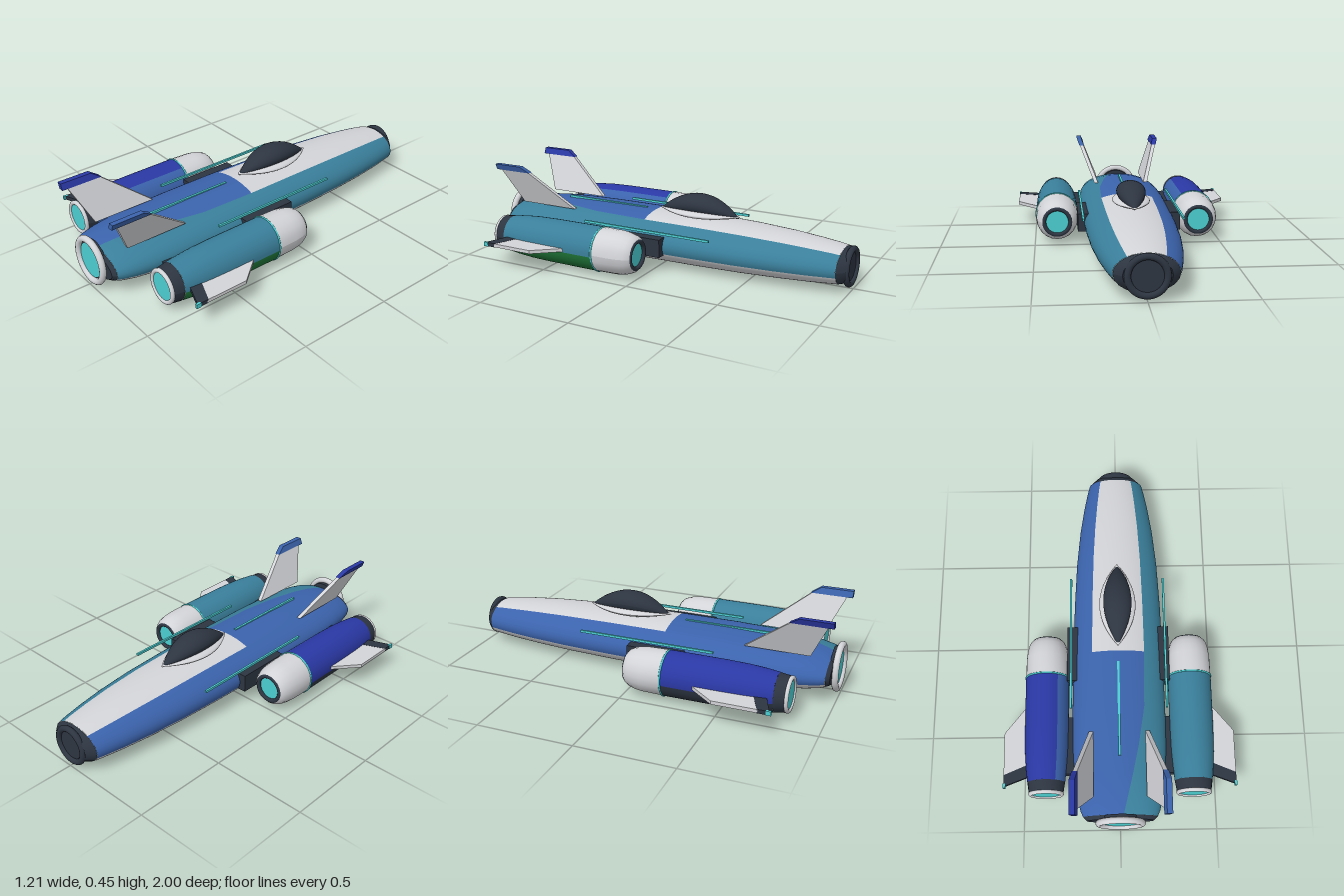
import * as THREE from 'three';

const paint = (name, color) => new THREE.MeshStandardMaterial({ name, color });
const LIGHT = paint('lightGrey', 0xd3d4d8);
const BLUE = paint('blue', 0x3b63ac);
const TEAL = paint('teal', 0x3a7f9b);
const INDIGO = paint('deepBlue', 0x2a38a4);
const GREEN = paint('green', 0x1f7538);
const DARK = paint('charcoal', 0x2d3541);
const CYAN = paint('cyan', 0x4ccfd2);

// Cross-sections: z, half width, centre height, half height
const HULL = [
  [-0.99, 0.11, 0.12, 0.078], [-0.95, 0.15, 0.12, 0.091], [-0.9, 0.162, 0.122, 0.096],
  [-0.8, 0.181, 0.124, 0.104], [-0.65, 0.203, 0.127, 0.113], [-0.45, 0.222, 0.129, 0.121],
  [-0.2, 0.234, 0.13, 0.126], [0.1, 0.241, 0.13, 0.128], [0.4, 0.245, 0.13, 0.126],
  [0.6, 0.243, 0.13, 0.121], [0.75, 0.234, 0.13, 0.113], [0.85, 0.22, 0.13, 0.102],
  [0.92, 0.203, 0.13, 0.086], [0.95, 0.19, 0.13, 0.076], [0.97, 0.17, 0.13, 0.066],
];
const POD = [
  [0, 0.078], [0.01, 0.09], [0.03, 0.1], [0.06, 0.108], [0.1, 0.113], [0.21, 0.115],
  [0.5, 0.114], [0.62, 0.111], [0.7, 0.105], [0.77, 0.097], [0.83, 0.088],
].map(([z, r]) => [z, r, 0.127, r]);

function sectionAt(profile, z) {
  let i = 0;
  while (i < profile.length - 2 && profile[i + 1][0] < z) i++;
  const a = profile[i], b = profile[i + 1], t = (z - a[0]) / (b[0] - a[0]);
  return a.map((v, k) => v + (b[k] - v) * t);
}

function add(parent, name, geometry, material, x = 0, y = 0, z = 0) {
  const mesh = new THREE.Mesh(geometry, material);
  mesh.name = name;
  mesh.position.set(x, y, z);
  parent.add(mesh);
  return mesh;
}

// Skin panel between two stations and two angles (degrees, or functions of z)
function panel(parent, name, profile, z0, z1, from, to, material) {
  const zs = [z0, ...profile.map(p => p[0]).filter(z => z > z0 + 1e-4 && z < z1 - 1e-4), z1];
  const angle = (a, z) => (typeof a === 'function' ? a(z) : a) * Math.PI / 180;
  const n = 20, pos = [], index = [];
  zs.forEach((z, i) => {
    const [, w, cy, h] = sectionAt(profile, z);
    for (let j = 0; j <= n; j++) {
      const a = THREE.MathUtils.lerp(angle(from, z), angle(to, z), j / n);
      pos.push(Math.cos(a) * w, cy + Math.sin(a) * h, z);
      if (i < zs.length - 1 && j < n) {
        const p = i * (n + 1) + j, q = p + n + 1;
        index.push(p, p + 1, q, p + 1, q + 1, q);
      }
    }
  });
  const g = new THREE.BufferGeometry();
  g.setAttribute('position', new THREE.Float32BufferAttribute(pos, 3));
  g.setIndex(index);
  g.computeVertexNormals();
  return add(parent, name, g, material);
}

// Pointed spindle lying along z; lift raises its middle
function spindle(halfWidth, halfHeight, halfLength, lift) {
  const g = new THREE.SphereGeometry(1, 32, 24).rotateX(Math.PI / 2);
  const p = g.attributes.position;
  for (let i = 0; i < p.count; i++) {
    const z = p.getZ(i), f = 1 - z * z, r = Math.sqrt(Math.max(f, 0));
    p.setXYZ(i, p.getX(i) * r * halfWidth, p.getY(i) * r * halfHeight + lift * f, z * halfLength);
  }
  g.computeVertexNormals();
  return g;
}

// Plate with a (z, y) outline, sheared sideways as it rises
function leaningPlate(outline, thickness, x0, y0, slope) {
  const shape = new THREE.Shape(outline.map(([z, y]) => new THREE.Vector2(-z, y)));
  const g = new THREE.ExtrudeGeometry(shape, { depth: thickness, bevelEnabled: false });
  g.translate(0, 0, -thickness / 2).rotateY(Math.PI / 2);
  const p = g.attributes.position;
  for (let i = 0; i < p.count; i++) p.setX(i, p.getX(i) + x0 + (p.getY(i) - y0) * slope);
  g.computeVertexNormals();
  return g;
}

// Horizontal plate with an (x, z) outline
function flatPlate(outline, thickness) {
  const shape = new THREE.Shape(outline.map(([x, z]) => new THREE.Vector2(x, -z)));
  return new THREE.ExtrudeGeometry(shape, { depth: thickness, bevelEnabled: false })
    .rotateX(-Math.PI / 2).translate(0, -thickness / 2, 0);
}

const ring = (radius, tube) => new THREE.TorusGeometry(radius, tube, 12, 48);
const disc = radius => new THREE.CircleGeometry(radius, 48);

function buildHull(root) {
  const hull = new THREE.Group();
  hull.name = 'hull';
  root.add(hull);
  // The boundary between the two side colours curves inward at the tail
  const edge = z => 55 + 30 * Math.pow(Math.max(0, (z - 0.3) / 0.65), 1.3);
  panel(hull, 'noseBand', HULL, -0.99, -0.95, 0, 360, DARK);
  panel(hull, 'topPanel', HULL, -0.95, 0.1, 55, 125, LIGHT);
  panel(hull, 'rearTopPanel', HULL, 0.1, 0.95, edge, 125, BLUE);
  panel(hull, 'leftSide', HULL, -0.95, 0.95, -16, edge, TEAL);
  panel(hull, 'rightSide', HULL, -0.95, 0.95, 125, 196, BLUE);
  panel(hull, 'leftStripe', HULL, -0.95, 0.95, -54, -16, LIGHT);
  panel(hull, 'rightStripe', HULL, -0.95, 0.95, 196, 234, LIGHT);
  panel(hull, 'belly', HULL, -0.95, 0.95, 234, 306, DARK);
  panel(hull, 'tailBand', HULL, 0.95, 0.97, 0, 360, DARK);
  add(hull, 'tailCap', disc(1), DARK, 0, 0.13, 0.97).scale.set(0.17, 0.066, 1);
  const cap = add(hull, 'noseCap', disc(1), DARK, 0, 0.12, -0.985);
  cap.scale.set(0.112, 0.08, 1);
  cap.rotation.y = Math.PI;
  add(hull, 'noseRing', ring(0.088, 0.016), DARK, 0, 0.116, -0.984);

  // Main engine
  const bell = new THREE.CylinderGeometry(0.1, 0.1, 0.03, 48).rotateX(Math.PI / 2);
  add(hull, 'engineBell', bell, DARK, 0, 0.135, 0.965);
  add(hull, 'engineRing', ring(0.111, 0.017), LIGHT, 0, 0.135, 0.983);
  add(hull, 'engineGlow', disc(0.09), CYAN, 0, 0.135, 0.984);

  // Canopy and spine light
  add(hull, 'canopyBase', spindle(0.097, 0.024, 0.235, 0), LIGHT, 0, 0.276, -0.155);
  add(hull, 'canopy', spindle(0.075, 0.055, 0.228, 0.05), DARK, 0, 0.27, -0.155);
  add(hull, 'spineLight', new THREE.BoxGeometry(0.012, 0.012, 0.5), CYAN, 0, 0.256, 0.41);
}

function buildPod(root, s) {
  const pod = new THREE.Group();
  pod.name = s > 0 ? 'leftPod' : 'rightPod';
  pod.position.x = s * 0.38;
  root.add(pod);
  panel(pod, 'intakeCowl', POD, 0, 0.21, 0, 360, LIGHT);
  const sectors = s > 0
    ? [['upperShell', -6, 186, TEAL], ['lowerShell', 245, 354, GREEN], ['innerShell', 186, 245, DARK]]
    : [['upperShell', 58, 190, INDIGO], ['innerShell', -14, 58, BLUE], ['lowerShell', 190, 346, DARK]];
  for (const [name, a, b, m] of sectors) panel(pod, name, POD, 0.21, 0.77, a, b, m);
  panel(pod, 'nozzle', POD, 0.77, 0.83, 0, 360, DARK);
  add(pod, 'lightBand', ring(0.114, 0.005), CYAN, 0, 0.127, 0.21);
  add(pod, 'intakeRing', ring(0.07, 0.011), DARK, 0, 0.127, 0.006);
  add(pod, 'intakeGlow', disc(0.066), CYAN, 0, 0.127, 0.012).rotation.y = Math.PI;
  add(pod, 'nozzleRing', ring(0.08, 0.011), LIGHT, 0, 0.127, 0.829);
  add(pod, 'nozzleGlow', disc(0.072), CYAN, 0, 0.127, 0.832);

  // Side winglet with a dark trailing edge and tip lamp
  const order = pts => {
    const p = pts.map(([x, z]) => [s * x, z]);
    return s > 0 ? p : p.reverse();
  };
  add(pod, 'winglet', flatPlate(order([[0.09, 0.35], [0.09, 0.69], [0.22, 0.735], [0.22, 0.51]].reverse()), 0.018),
    LIGHT, 0, 0.127, 0);
  add(pod, 'wingletFlap', flatPlate(order([[0.09, 0.675], [0.09, 0.74], [0.22, 0.79], [0.22, 0.73]].reverse()), 0.02),
    DARK, 0, 0.127, 0);
  add(pod, 'tipLamp', new THREE.BoxGeometry(0.012, 0.022, 0.025), CYAN, s * 0.217, 0.127, 0.785);
}

function buildSide(root, s) {
  const side = s > 0 ? 'left' : 'right';
  buildPod(root, s);
  // Pylons joining pod and hull
  add(root, side + 'FrontPylon', new THREE.BoxGeometry(0.06, 0.095, 0.3), DARK, s * 0.242, 0.136, 0.09);
  add(root, side + 'RearPylon', new THREE.BoxGeometry(0.09, 0.045, 0.3), DARK, s * 0.237, 0.118, 0.58);
  add(root, side + 'SideLight', new THREE.BoxGeometry(0.011, 0.012, 0.73), CYAN, s * 0.251, 0.213, 0.035);

  // Leaning tail fin with painted tip
  const fin = [[0.53, 0.235], [0.865, 0.235], [0.955, 0.425], [0.775, 0.425]];
  const tip = [[0.77, 0.425], [0.985, 0.425], [0.985, 0.457], [0.82, 0.457]];
  add(root, side + 'TailFin', leaningPlate(fin.reverse(), 0.022, s * 0.145, 0.235, s * 0.4), LIGHT);
  add(root, side + 'TailFinTip', leaningPlate(tip.reverse(), 0.028, s * 0.145, 0.235, s * 0.4), s > 0 ? BLUE : INDIGO);
}

export function createModel() {
  const root = new THREE.Group();
  root.name = 'spacecraft';
  buildHull(root);
  for (const s of [1, -1]) buildSide(root, s);
  return root;
}
